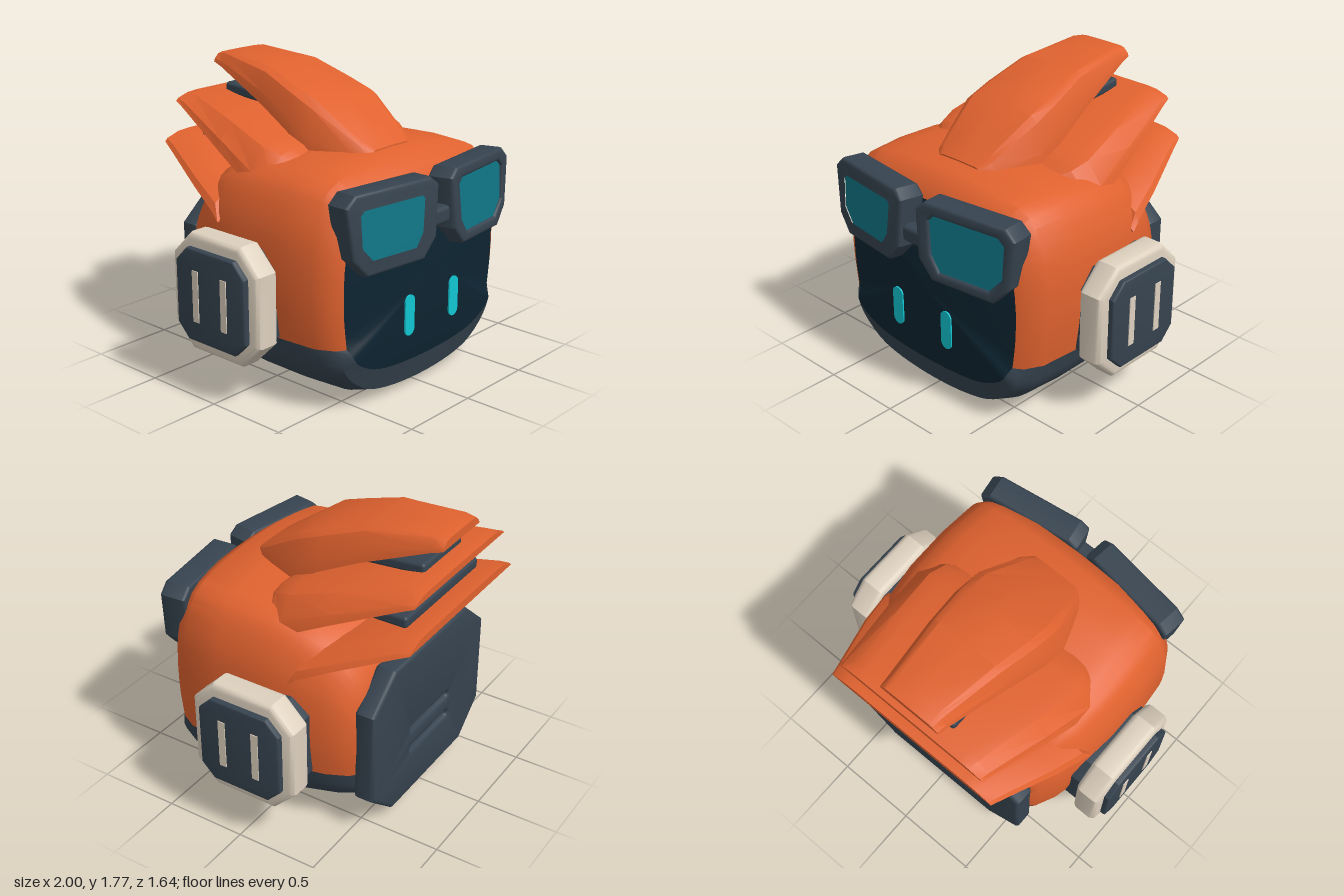
import * as THREE from 'three';
import { toCreasedNormals } from 'three/addons/utils/BufferGeometryUtils.js';
import { RoundedBoxGeometry } from 'three/addons/geometries/RoundedBoxGeometry.js';

const mat = (name, color) => {
  const m = new THREE.MeshStandardMaterial({ color });
  m.name = name;
  return m;
};

export function createModel() {
  const orange = mat('orange shell', 0xe0622f);
  const slate = mat('slate', 0x36434f);
  const navy = mat('dark face', 0x0d2431);
  const teal = mat('teal lens', 0x107687);
  const cyan = mat('cyan eye', 0x12c6d2);
  const cream = mat('cream', 0xddd0be);
  const model = new THREE.Group();
  model.name = 'robotHead';

  const add = (name, geo, material, parent = model) => {
    const mesh = new THREE.Mesh(geo, material);
    mesh.name = name;
    parent.add(mesh);
    return mesh;
  };

  // Skin rings ordered front to back, each counter-clockwise seen from the front
  function loft(rings, closed, caps, crease = 0.6) {
    const n = rings[0].length, pos = rings.flat(2), idx = [];
    const steps = closed ? n : n - 1;
    for (let i = 0; i < rings.length - 1; i++)
      for (let j = 0; j < steps; j++) {
        const a = i * n + j, b = i * n + (j + 1) % n;
        idx.push(a, a + n, b, b, a + n, b + n);
      }
    if (caps) for (const i of [0, rings.length - 1]) {
      const c = pos.length / 3;
      for (let k = 0; k < 3; k++) pos.push(rings[i].reduce((s, p) => s + p[k], 0) / n);
      for (let j = 0; j < n; j++) {
        const a = i * n + j, b = i * n + (j + 1) % n;
        idx.push(c, ...(i === 0 ? [a, b] : [b, a]));
      }
    }
    const g = new THREE.BufferGeometry();
    g.setAttribute('position', new THREE.Float32BufferAttribute(pos, 3));
    g.setIndex(idx);
    return toCreasedNormals(g, crease);
  }

  // Bevelled plate from z = 0 to z = depth, keeping the outline size
  function slab(shape, depth, b) {
    const g = new THREE.ExtrudeGeometry(shape, {
      depth: depth - 2 * b, bevelEnabled: b > 0, bevelThickness: b, bevelSize: b,
      bevelOffset: -b, bevelSegments: 3, curveSegments: 8,
    });
    g.translate(0, 0, b);
    return toCreasedNormals(g, 0.6);
  }
  const polygon = (pts) => new THREE.Shape(pts.map(([x, y]) => new THREE.Vector2(x, y)));
  const octagon = (w, h, cx, cy = cx) => polygon([
    [w, cy - h], [w, h - cy], [w - cx, h], [cx - w, h],
    [-w, h - cy], [-w, cy - h], [cx - w, -h], [w - cx, -h]]);
  function capsule(halfLength, r, y = 0, Type = THREE.Shape) {
    const s = new Type();
    s.absarc(halfLength, y, r, -Math.PI / 2, Math.PI / 2, false);
    s.absarc(-halfLength, y, r, Math.PI / 2, Math.PI * 1.5, false);
    s.closePath();
    return s;
  }

  // Head shell: half profiles run from the colour split to the crown or the chin
  const SPLIT = 0.4;
  const arc = (half) => {
    const left = half.slice(0, -1).reverse().map(([u, v]) => [-u, v]);
    return new THREE.CatmullRomCurve3([...half, ...left].map(([u, v]) => new THREE.Vector3(u, v, 0)))
      .getPoints(30);
  };
  const upperArc = arc([[0.965, 0], [1, 0.25], [0.99, 0.58], [0.93, 0.76], [0.82, 0.9], [0.52, 0.97], [0, 1]]);
  const lowerArc = arc([[0.965, 0], [0.88, 0.45], [0.64, 0.82], [0.38, 0.95], [0, 1]]);
  const upperRing = ([z, , w, , t]) => upperArc.map((p) => [p.x * w, SPLIT + p.y * (t - SPLIT), z]);
  const lowerRing = ([z, dz, w, b]) => lowerArc.map((p) =>
    [-p.x * w, SPLIT - p.y * (SPLIT - b), z + dz * Math.min(1, Math.max(0, p.y * 5))]);
  // z, chin push forward, half width, bottom, top
  const sections = [
    [0.655, 0.035, 0.655, 0.19, 1.2],
    [0.62, 0.03, 0.71, 0.045, 1.28],
    [0.52, 0.02, 0.765, 0.012, 1.35],
    [0.28, 0, 0.785, 0.002, 1.36],
    [0, 0, 0.785, 0.004, 1.35],
    [-0.2, 0, 0.765, 0.02, 1.31],
    [-0.38, 0, 0.72, 0.055, 1.23],
    [-0.5, 0, 0.66, 0.09, 1.07],
    [-0.55, 0, 0.6, 0.12, 0.97],
    [-0.56, 0, 0.2, 0.3, 0.6],
  ];
  add('upperShell', loft(sections.map(upperRing), false, false), orange);
  add('jaw', loft(sections.map(lowerRing), false, false), slate);

  // Slightly domed face filling the front opening
  const rim = [...upperRing(sections[0]), ...lowerRing(sections[0]).slice(1, -1)];
  const faceRings = [0.04, 0.35, 0.65, 0.85, 1].map((s) => rim.map(([x, y, z]) =>
    [x * s, 0.72 + (y - 0.72) * s, 0.726 + (z - 0.726) * s * s]));
  add('face', loft(faceRings, true, true, 1), navy);
  for (const side of [-1, 1]) {
    const eye = add('eye', slab(capsule(0.08, 0.04), 0.009, 0), cyan);
    eye.rotation.z = Math.PI / 2;
    eye.position.set(side * 0.197, 0.49, 0.726);
  }

  // Swept hair blades: z, half width, top, lower edge
  const bladeHalf = [[1, 0], [0.97, 0.35], [0.82, 0.88], [0.68, 1]];
  const bladeProfile = [...bladeHalf, [0, 1.03], ...bladeHalf.slice().reverse().map(([u, v]) => [-u, v])];
  const blade = (name, secs) => add(name, loft(secs.map(([z, w, t, b]) =>
    bladeProfile.map(([u, v]) => [u * w, b + v * (t - b), z])), true, true, 0.5), orange);
  blade('topHairBlade', [
    [0.42, 0.19, 1.36, 1.28], [0.36, 0.24, 1.4, 1.28], [0.08, 0.33, 1.59, 1.3],
    [-0.08, 0.32, 1.645, 1.42], [-0.33, 0.28, 1.73, 1.535], [-0.72, 0.21, 1.765, 1.68], [-0.79, 0.2, 1.752, 1.7]]);
  blade('middleHairBlade', [
    [0.13, 0.54, 1.31, 1.2], [0.06, 0.62, 1.36, 1.17], [-0.05, 0.65, 1.4, 1.17],
    [-0.34, 0.6, 1.48, 1.31], [-0.74, 0.51, 1.563, 1.485], [-0.8, 0.5, 1.553, 1.51]]);
  blade('lowerHairBlade', [
    [-0.18, 0.77, 1.02, 0.965], [-0.23, 0.76, 1.15, 1.01], [-0.43, 0.71, 1.22, 1.11],
    [-0.75, 0.6, 1.325, 1.245], [-0.825, 0.575, 1.325, 1.275]]);

  // Dark spacers between the blades
  const upperSpacer = add('hairSpacer', new RoundedBoxGeometry(0.42, 0.065, 0.38, 2, 0.02), slate);
  upperSpacer.position.set(0, 1.55, -0.5);
  upperSpacer.rotation.x = 0.08;
  add('hairSpacer', new RoundedBoxGeometry(0.8, 0.07, 0.36, 2, 0.02), slate).position.set(0, 1.335, -0.52);

  // Goggles
  const frameOutline = [[0.03, 1.22], [0.055, 0.93], [0.15, 0.82], [0.56, 0.815],
    [0.655, 0.92], [0.69, 1.21], [0.625, 1.27], [0.09, 1.27]];
  const lensOutline = [[0.12, 1.17], [0.14, 0.97], [0.2, 0.88], [0.53, 0.88],
    [0.61, 0.97], [0.615, 1.165], [0.575, 1.2], [0.15, 1.2]];
  for (const side of [-1, 1]) {
    const goggle = new THREE.Group();
    goggle.name = 'goggle';
    const local = (pts) => pts.map(([x, y]) => [side * (x - 0.36), y - 1.04]);
    const frame = polygon(local(frameOutline));
    frame.holes.push(polygon(local(lensOutline)));
    add('goggleFrame', slab(frame, 0.16, 0.02), slate, goggle);
    add('lens', slab(polygon(local(lensOutline)), 0.009, 0), teal, goggle).position.z = 0.135;
    goggle.position.set(side * 0.36, 1.04, 0.615);
    goggle.rotation.set(-0.05, side * 0.14, 0);
    model.add(goggle);
  }
  add('goggleBridge', new RoundedBoxGeometry(0.16, 0.1, 0.09, 2, 0.025), slate).position.set(0, 1.025, 0.745);

  // Ear pods
  for (const side of [-1, 1]) {
    const ear = new THREE.Group();
    ear.name = 'earPod';
    add('earCore', slab(octagon(0.295, 0.295, 0.1), 0.2, 0.01), slate, ear).position.z = 0.68;
    add('earRing', slab(octagon(0.335, 0.345, 0.14), 0.16, 0.035), cream, ear).position.z = 0.8;
    add('earCap', slab(octagon(0.267, 0.27, 0.085), 0.1, 0.012), slate, ear).position.z = 0.895;
    for (const s of [-1, 1])
      add('earAccentBar', new THREE.BoxGeometry(0.045, 0.3, 0.006), cream, ear).position.set(s * 0.11, 0, 0.997);
    ear.position.set(0, 0.605, -0.015);
    ear.rotation.y = side * Math.PI / 2;
    model.add(ear);
  }

  // Back panel with two vent slots
  const back = new THREE.Group();
  back.name = 'backPanel';
  const panel = octagon(0.62, 0.475, 0.22, 0.19);
  for (const y of [-0.03, -0.17]) panel.holes.push(capsule(0.2, 0.018, y, THREE.Path));
  add('panelCover', slab(panel, 0.13, 0.025), slate, back);
  add('ventBacking', new THREE.BoxGeometry(0.6, 0.4, 0.08), slate, back).position.set(0, -0.1, 0.055);
  back.position.set(0, 0.545, -0.52);
  back.rotation.y = Math.PI;
  model.add(back);

  return model;
}
